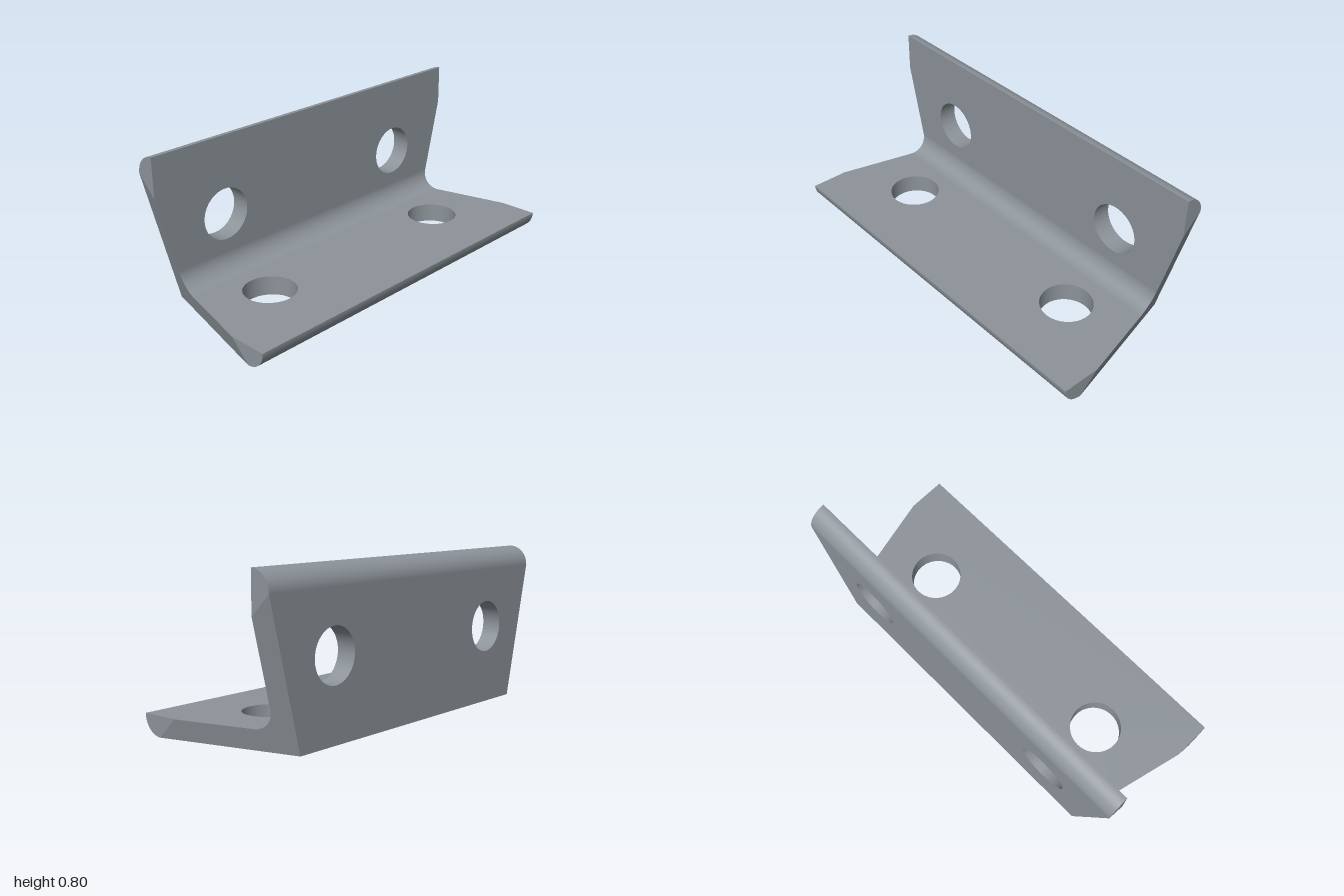
import * as THREE from 'three';

const LENGTH = 0.8, THICK = 0.1, ROUND = 0.1, HOLE_R = 0.132, HOLE_U = 0.4, HOLE_Z = 0.6;

// Each leg is drawn with u along the leg and v through its thickness.
// Half-length of the bracket: full at the tips, slanting in towards the corner.
const halfLength = (u, v) => Math.min(1, 1 + 0.25 * (u + v - 0.7));

function arc(cu, cv, from, to, steps) {
  return Array.from({ length: steps + 1 }, (_, i) => {
    const a = from + (to - from) * i / steps;
    return new THREE.Vector2(cu + ROUND * Math.cos(a), cv + ROUND * Math.sin(a));
  });
}
const noseArc = arc(0.7, THICK, -Math.PI / 2, 0, 16);
const filletArc = arc(0.2, 0.2, -Math.PI / 2, -Math.PI * 3 / 4, 10);

// Flat face at height v with two bolt holes, outlined by the end cuts
function flatFace(us, v, up) {
  const near = us.map(u => new THREE.Vector2(u, -halfLength(u, v)));
  const far = us.map(u => new THREE.Vector2(u, halfLength(u, v))).reverse();
  const shape = new THREE.Shape([...near, ...far]);
  for (const z of [-HOLE_Z, HOLE_Z]) {
    shape.holes.push(new THREE.Path().absarc(HOLE_U, z, HOLE_R, 0, Math.PI * 2, true));
  }
  return new THREE.ShapeGeometry(shape, 24).rotateX(up ? -Math.PI / 2 : Math.PI / 2).translate(0, v, 0);
}

// Curved strip between the two ends, with smooth normals about its centre
function curvedStrip(points, cu, cv, sign) {
  const pos = [], nor = [], idx = [];
  points.forEach((p, i) => {
    const h = halfLength(p.x, p.y);
    const nx = sign * (p.x - cu) / ROUND, ny = sign * (p.y - cv) / ROUND;
    pos.push(p.x, p.y, h, p.x, p.y, -h);
    nor.push(nx, ny, 0, nx, ny, 0);
    const a = 2 * i;
    if (i < points.length - 1) idx.push(a, a + 1, a + 2, a + 2, a + 1, a + 3);
  });
  const g = new THREE.BufferGeometry();
  g.setAttribute('position', new THREE.Float32BufferAttribute(pos, 3));
  g.setAttribute('normal', new THREE.Float32BufferAttribute(nor, 3));
  g.setIndex(idx);
  return g;
}

// End cap: a flat shape pushed out to the end cut
function endCap(points, side) {
  const g = new THREE.ShapeGeometry(new THREE.Shape(points));
  const p = g.attributes.position;
  for (let i = 0; i < p.count; i++) p.setZ(i, side * halfLength(p.getX(i), p.getY(i)));
  if (side < 0) g.index.array.reverse();
  g.computeVertexNormals();
  return g;
}

function makeLeg(name, material) {
  const leg = new THREE.Group();
  leg.name = name;
  const add = (part, geometry) => {
    const mesh = new THREE.Mesh(geometry, material);
    mesh.name = part;
    leg.add(mesh);
    return mesh;
  };
  add('outerFace', flatFace([0, 0.7], 0, false));
  add('innerFace', flatFace([0.2, 0.6, LENGTH], THICK, true));
  add('roundedEdge', curvedStrip(noseArc, 0.7, THICK, 1));
  add('cornerFillet', curvedStrip(filletArc, 0.2, 0.2, -1));

  // Bolt hole walls, facing inwards
  const wall = [new THREE.Vector2(HOLE_R, THICK), new THREE.Vector2(HOLE_R, 0)];
  for (const z of [-HOLE_Z, HOLE_Z]) {
    add('boltHole', new THREE.LatheGeometry(wall, 48)).position.set(HOLE_U, 0, z);
  }

  // Slanted end and square tip at both ends
  const core = [new THREE.Vector2(0, 0), new THREE.Vector2(0.7, 0), new THREE.Vector2(0.6, THICK), ...filletArc];
  const tip = [...noseArc, new THREE.Vector2(0.6, THICK)];
  for (const side of [1, -1]) {
    add('slantedEnd', endCap(core, side));
    add('squareTip', endCap(tip, side));
  }
  return leg;
}

export function createModel() {
  // Blue-grey steel
  const material = new THREE.MeshStandardMaterial({ color: 0x8c9399 });
  const model = new THREE.Group();
  model.name = 'angleBracket';

  const base = makeLeg('baseLeg', material);
  // The upright is the base turned half a turn about the corner's diagonal
  const upright = makeLeg('uprightLeg', material);
  upright.quaternion.setFromAxisAngle(new THREE.Vector3(1, 1, 0).normalize(), Math.PI);
  for (const leg of [base, upright]) {
    leg.position.x = -0.4;
    model.add(leg);
  }
  return model;
}
